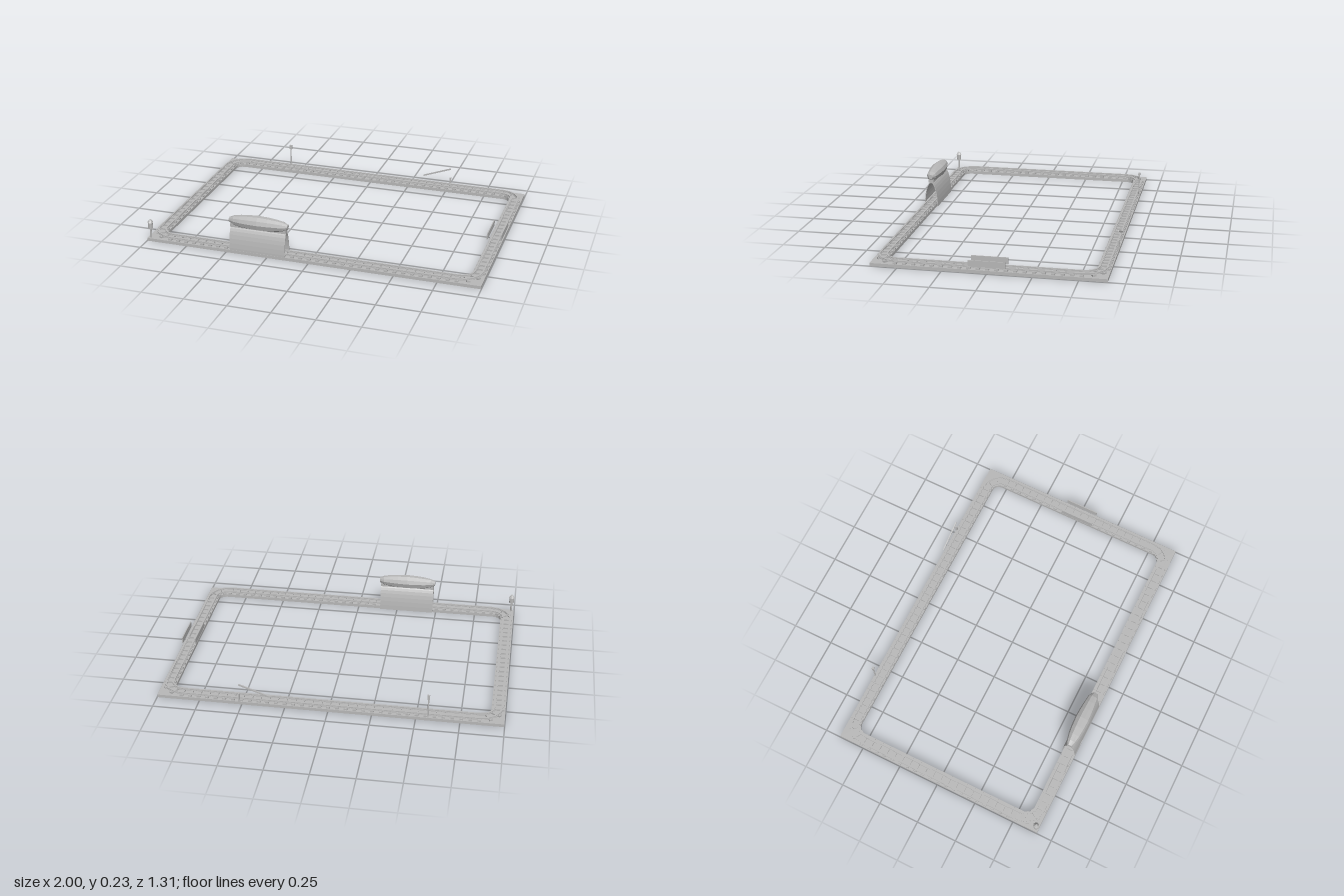
import * as THREE from 'three';

export function createModel() {
  const model = new THREE.Group();
  model.name = 'railwayLoop';
  const grey = new THREE.MeshStandardMaterial({ color: 0xb8b8b8, flatShading: true });
  grey.name = 'plainGrey';

  function add(name, geometry, x = 0, y = 0, z = 0, parent = model) {
    const mesh = new THREE.Mesh(geometry, grey);
    mesh.name = name;
    mesh.position.set(x, y, z);
    parent.add(mesh);
    return mesh;
  }
  function group(name, x = 0, y = 0, z = 0) {
    const g = new THREE.Group();
    g.name = name;
    g.position.set(x, y, z);
    model.add(g);
    return g;
  }
  const box = (w, h, d) => new THREE.BoxGeometry(w, h, d);
  const post = (r, h, sides = 8) => new THREE.CylinderGeometry(r, r, h, sides).translate(0, h / 2, 0);

  // Rounded rectangle centred on the origin, by half sizes and corner radius
  function trace(path, hx, hz, r) {
    if (r === 0) {
      path.moveTo(hx, -hz).lineTo(hx, hz).lineTo(-hx, hz).lineTo(-hx, -hz).closePath();
      return path;
    }
    const corners = [[1, -1], [1, 1], [-1, 1], [-1, -1]];
    corners.forEach(([sx, sz], i) => {
      const a = (i - 1) * Math.PI / 2;
      path.absarc(sx * (hx - r), sz * (hz - r), r, a, a + Math.PI / 2, false);
    });
    path.closePath();
    return path;
  }
  // Flat ring between two rounded rectangles, raised to a height
  function ring(outer, inner, height) {
    const shape = trace(new THREE.Shape(), ...outer);
    shape.holes.push(trace(new THREE.Path(), ...inner));
    return new THREE.ExtrudeGeometry(shape, { depth: height, bevelEnabled: false, curveSegments: 2 })
      .rotateX(-Math.PI / 2);
  }

  // Base frame
  add('baseFrame', ring([0.998, 0.655, 0], [0.918, 0.577, 0.045], 0.018));

  // Rails: wide foot and narrower head
  const TX = 0.957, TZ = 0.614, R = 0.1;
  function rail(name, offset) {
    const band = (w, h) => ring(
      [TX + offset + w, TZ + offset + w, R + offset + w],
      [TX + offset - w, TZ + offset - w, R + offset - w], h);
    const g = group(name);
    add('railFoot', band(0.007, 0.003), 0, 0.027, 0, g);
    add('railWeb', band(0.003, 0.004), 0, 0.029, 0, g);
    add('railHead', band(0.005, 0.004), 0, 0.033, 0, g);
  }
  rail('outerRail', 0.022);
  rail('innerRail', -0.022);

  // Sleepers along the straights and fanned round the corners
  const sleepers = group('sleepers');
  const sleeper = box(0.02, 0.01, 0.07);
  const tie = (x, z, turn) => { add('sleeper', sleeper, x, 0.0225, z, sleepers).rotation.y = turn; };
  const nx = 34, nz = 20;
  for (const s of [-1, 1]) {
    for (let i = 0; i <= nx; i++) tie((TX - R) * (2 * i / nx - 1), s * TZ, 0);
    for (let i = 0; i <= nz; i++) tie(s * TX, (TZ - R) * (2 * i / nz - 1), Math.PI / 2);
    for (const t of [-1, 1]) {
      for (const a of [Math.PI / 6, Math.PI / 3]) {
        tie(s * (TX - R + R * Math.cos(a)), t * (TZ - R + R * Math.sin(a)),
          Math.atan2(s * Math.cos(a), t * Math.sin(a)));
      }
    }
  }

  // Tunnel: thin arched shell over the front track
  const tunnel = group('tunnel', -0.31, 0, 0.612);
  const arch = new THREE.Shape();
  arch.moveTo(0.042, 0);
  arch.absellipse(0, 0, 0.042, 0.157, 0, Math.PI, false);
  arch.lineTo(-0.038, 0);
  arch.absellipse(0, 0, 0.038, 0.15, Math.PI, 0, true);
  arch.closePath();
  add('tunnelArch', new THREE.ExtrudeGeometry(arch, { depth: 0.338, bevelEnabled: false, curveSegments: 8 })
    .translate(0, 0, -0.169).rotateY(Math.PI / 2), 0, 0, 0, tunnel);
  add('tunnelRidge', box(0.34, 0.02, 0.032), 0, 0.163, 0, tunnel);

  // Lumpy hilltop lying along the tunnel
  const profile = [[0, -0.178], [0.014, -0.178], [0.027, -0.15], [0.034, -0.11], [0.039, -0.06], [0.042, 0],
    [0.039, 0.06], [0.034, 0.11], [0.027, 0.15], [0.014, 0.178], [0, 0.178]];
  const hill = new THREE.LatheGeometry(profile.map(([r, y]) => new THREE.Vector2(r, y)), 10)
    .rotateZ(Math.PI / 2);
  const p = hill.attributes.position;
  for (let i = 0; i < p.count; i++) {
    const x = p.getX(i), y = p.getY(i), z = p.getZ(i);
    const lump = 1 + 0.06 * Math.sin(x * 55);
    p.setXYZ(i, x, y < 0 ? Math.max(y * 1.15, -0.038) : y * 0.98, z * 1.06 * lump);
  }
  hill.computeVertexNormals();
  add('hilltop', hill, 0, 0.193, 0, tunnel);

  // Corner lantern
  const lantern = group('lantern', -0.98, 0, 0.64);
  add('lanternPost', post(0.006, 0.085), 0, 0, 0, lantern);
  add('lanternBody', post(0.015, 0.036), 0, 0.08, 0, lantern);
  add('lanternRoof', new THREE.CylinderGeometry(0.004, 0.018, 0.02, 8), 0, 0.125, 0, lantern);

  // Signal behind the back track
  const signal = group('signal', -0.57, 0, -0.648);
  add('signalPost', post(0.004, 0.15), 0, 0, 0, signal);
  add('signalHead', box(0.015, 0.028, 0.01), 0, 0.152, 0, signal);
  for (const y of [0.146, 0.159]) {
    add('signalLamp', new THREE.CylinderGeometry(0.004, 0.004, 0.005, 8).rotateX(Math.PI / 2), 0, y, 0.006, signal);
  }

  // Crossing barrier with a raised arm
  const barrier = group('barrier', 0.515, 0, -0.65);
  add('barrierPost', box(0.01, 0.07, 0.01).translate(0, 0.035, 0), 0, 0, 0, barrier);
  add('barrierArm', box(0.19, 0.008, 0.008), -0.088, 0.098, 0, barrier).rotation.z = 0.35;

  // Pair of parapets beside the track on the left
  for (const x of [0.914, 0.995]) add('parapet', box(0.006, 0.036, 0.205), x, 0.054, 0);

  return model;
}
